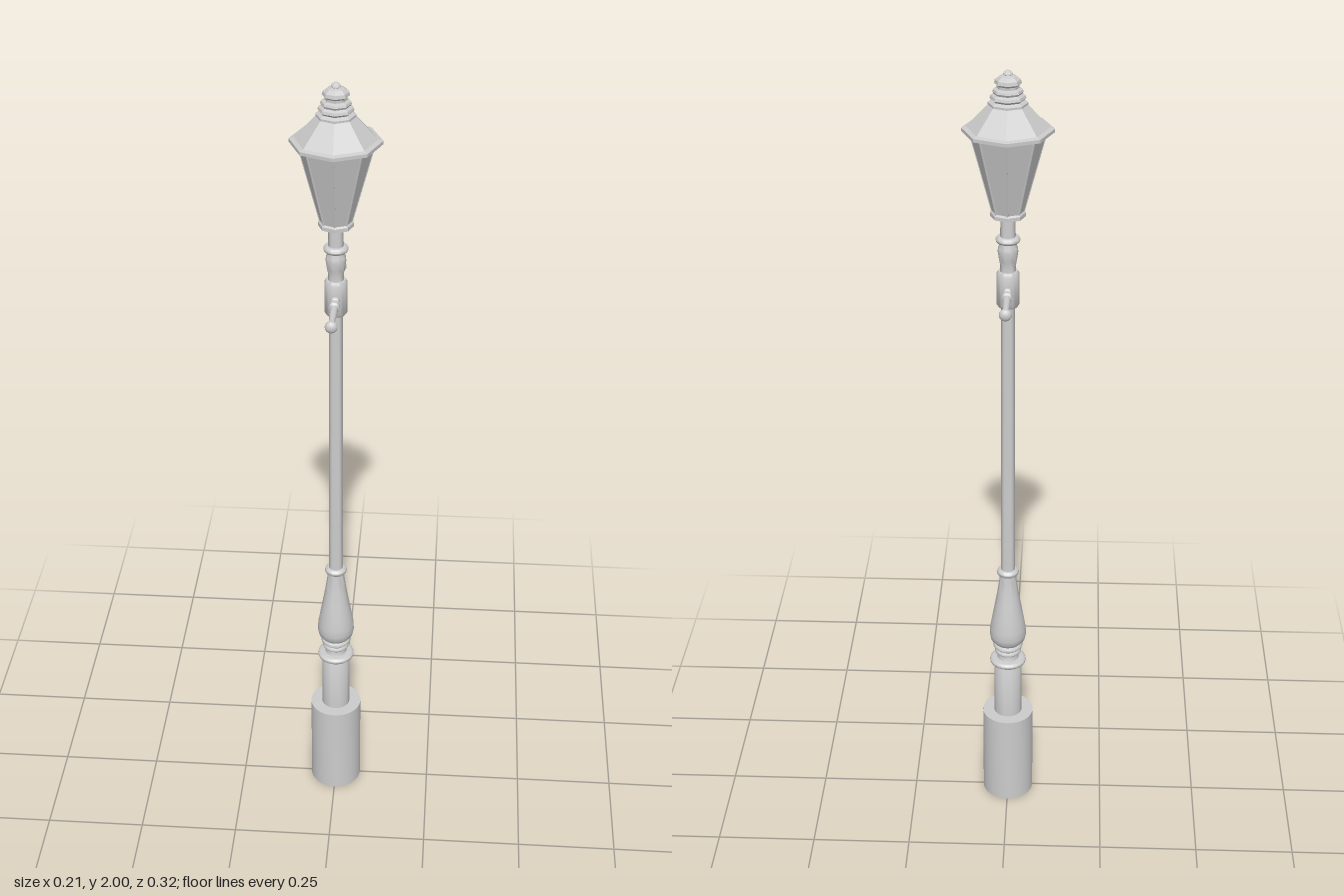
import * as THREE from 'three';
import { toCreasedNormals } from 'three/addons/utils/BufferGeometryUtils.js';

const smooth = new THREE.MeshStandardMaterial({ color: 0xcccccc });
const faceted = new THREE.MeshStandardMaterial({ color: 0xcccccc, flatShading: true });

// Turned part from [radius, height] pairs listed bottom to top
function turned(name, profile, sides = 24, material = smooth) {
  const points = profile.map(([r, y]) => new THREE.Vector2(r, y));
  const geometry = new THREE.LatheGeometry(points, sides);
  const mesh = new THREE.Mesh(material === smooth ? toCreasedNormals(geometry, 0.7) : geometry, material);
  mesh.name = name;
  return mesh;
}

// Rounded ring profile around the post
function bead(name, y, radius, height, inner) {
  const profile = [[inner, y - height / 2]];
  for (let i = 0; i <= 6; i++) {
    const a = -Math.PI / 2 + (i / 6) * Math.PI;
    profile.push([radius - height / 2 + Math.cos(a) * height / 2, y + Math.sin(a) * height / 2]);
  }
  profile.push([inner, y + height / 2]);
  return turned(name, profile);
}

export function createModel() {
  const lamp = new THREE.Group();
  lamp.name = 'streetLamp';

  // Stepped base
  lamp.add(turned('base', [[0, 0], [0.066, 0], [0.066, 0.255], [0.036, 0.255]], 32));
  lamp.add(turned('pedestal', [[0.036, 0.25], [0.036, 0.41], [0.028, 0.425], [0.026, 0.44], [0.028, 0.48]]));
  lamp.add(bead('pedestalRing', 0.418, 0.047, 0.016, 0.02));
  lamp.add(bead('neckRing', 0.447, 0.034, 0.012, 0.02));
  lamp.add(bead('neckRing', 0.464, 0.038, 0.014, 0.02));

  // Vase-shaped swelling
  lamp.add(turned('vase', [
    [0.026, 0.472], [0.036, 0.475], [0.044, 0.485], [0.047, 0.5], [0.046, 0.52],
    [0.041, 0.55], [0.034, 0.59], [0.027, 0.63], [0.022, 0.665], [0.02, 0.69],
  ]));
  lamp.add(bead('vaseRing', 0.69, 0.028, 0.018, 0.012));

  // Post, collar and upper neck
  lamp.add(turned('post', [[0.018, 0.68], [0.016, 1.45]]));
  lamp.add(turned('collar', [
    [0.014, 1.432], [0.023, 1.432], [0.027, 1.438], [0.027, 1.515], [0.023, 1.522], [0.016, 1.522],
  ]));
  lamp.add(turned('upperNeck', [
    [0.019, 1.52], [0.018, 1.535], [0.021, 1.55], [0.024, 1.57], [0.023, 1.58],
    [0.018, 1.592], [0.018, 1.61], [0.017, 1.67],
  ]));
  lamp.add(bead('upperRing', 1.6, 0.029, 0.016, 0.012));

  // Ladder bar: one arm with a knob, mirrored front and back
  for (const side of [1, -1]) {
    const arm = new THREE.Group();
    arm.name = side > 0 ? 'frontArm' : 'backArm';
    arm.add(turned('rod', [
      [0.011, 0.02], [0.011, 0.034], [0.008, 0.037], [0.008, 0.046], [0.013, 0.05],
      [0.013, 0.06], [0.009, 0.064], [0.008, 0.1], [0.006, 0.145],
    ], 16));
    const knob = new THREE.Mesh(new THREE.SphereGeometry(0.015, 16, 10), smooth);
    knob.name = 'knob';
    knob.scale.y = 0.75;
    knob.position.y = 0.151;
    arm.add(knob);
    arm.position.y = 1.478;
    arm.rotation.x = side * Math.PI / 2;
    lamp.add(arm);
  }

  // Eight-sided lantern
  const lantern = new THREE.Group();
  lantern.name = 'lantern';
  lantern.add(turned('foot', [[0, 1.657], [0.041, 1.657], [0.041, 1.666], [0.036, 1.672]], 8, faceted));
  lantern.add(turned('panes', [[0.037, 1.668], [0.088, 1.86]], 8, faceted));
  lantern.add(turned('roof', [
    [0, 1.858], [0.105, 1.858], [0.105, 1.866], [0.094, 1.869], [0.045, 1.921], [0.04, 1.923],
  ], 8, faceted));

  // Glazing bars along the pane corners
  const up = new THREE.Vector3(0, 1, 0);
  for (let i = 0; i < 8; i++) {
    const a = (i * Math.PI) / 4;
    const at = (r, y) => new THREE.Vector3(Math.sin(a) * r, y, Math.cos(a) * r);
    const low = at(0.036, 1.668), high = at(0.087, 1.86);
    const bar = new THREE.Mesh(new THREE.CylinderGeometry(0.0025, 0.0025, low.distanceTo(high), 6), faceted);
    bar.name = 'glazingBar';
    bar.position.copy(low).add(high).multiplyScalar(0.5);
    bar.quaternion.setFromUnitVectors(up, high.sub(low).normalize());
    lantern.add(bar);
  }

  // Tiered vent and cap
  lantern.add(turned('vent', [
    [0.038, 1.918], [0.045, 1.921], [0.045, 1.926], [0.036, 1.931], [0.041, 1.936], [0.039, 1.942],
    [0.032, 1.946], [0.035, 1.951], [0.033, 1.956], [0.025, 1.959],
    [0.025, 1.965], [0.031, 1.97], [0.029, 1.978], [0.02, 1.985], [0.008, 1.988], [0, 1.988],
  ], 8, faceted));
  lantern.add(turned('finial', [
    [0.006, 1.985], [0.011, 1.989], [0.01, 1.994], [0.005, 1.998], [0, 2],
  ], 12));
  lamp.add(lantern);

  return lamp;
}
